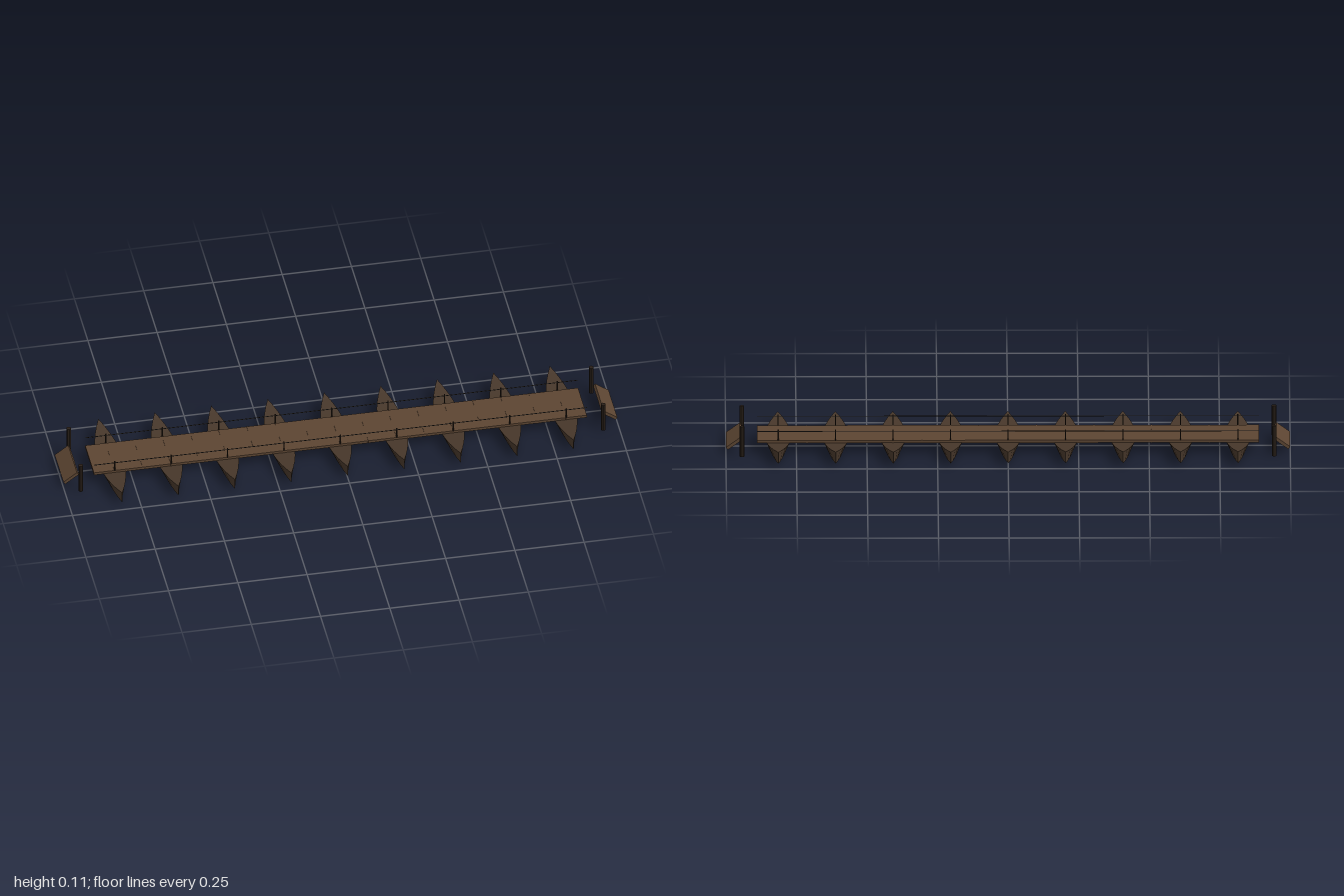
import * as THREE from 'three';

const mat = (color) => new THREE.MeshStandardMaterial({ color, flatShading: true, side: THREE.DoubleSide });
const deckMat = mat(0x5c4532), hullMat = mat(0x47372a), postMat = mat(0x2b2119);

const SPACING = 0.2037, DECK_HALF = 0.89, RAIL_Z = 0.082;

// Pointed hull lofted from trapezoid sections, rising toward both tips
function hullGeometry() {
  const n = 12, half = 0.222, pos = [], idx = [];
  for (let i = 0; i <= n; i++) {
    const t = -1 + (2 * i) / n;
    const w = 0.047 * (1 - t * t);
    const yb = 0.001 + 0.01 * t * t, yt = 0.038 + 0.015 * t * t;
    pos.push(-w * 0.57, yb, t * half, w * 0.57, yb, t * half, w, yt, t * half, -w, yt, t * half);
    if (i < n) {
      for (let k = 0; k < 4; k++) {
        const a = i * 4 + k, b = i * 4 + (k + 1) % 4;
        idx.push(a, b, b + 4, a, b + 4, a + 4);
      }
    }
  }
  const g = new THREE.BufferGeometry();
  g.setAttribute('position', new THREE.Float32BufferAttribute(pos, 3));
  g.setIndex(idx);
  g.computeVertexNormals();
  return g;
}

export function createModel() {
  const model = new THREE.Group();
  const add = (name, geo, material, x, y, z) => {
    const m = new THREE.Mesh(geo, material);
    m.name = name;
    m.position.set(x, y, z);
    model.add(m);
    return m;
  };

  // Nine boats with a pair of rail posts above each
  const hull = hullGeometry();
  const railPost = new THREE.CylinderGeometry(0.0025, 0.0025, 0.041, 6);
  for (let i = -4; i <= 4; i++) {
    add('boat', hull, hullMat, i * SPACING, 0, 0);
    for (const s of [-1, 1]) add('railPost', railPost, postMat, i * SPACING, 0.0685, s * RAIL_Z);
  }

  // Deck panels meeting over and midway between the boats
  const step = SPACING / 2;
  for (let i = -9; i < 9; i++) {
    const a = Math.max(i * step, -DECK_HALF), b = Math.min((i + 1) * step, DECK_HALF);
    add('deckPanel', new THREE.BoxGeometry(b - a - 0.0008, 0.01, 0.164), deckMat, (a + b) / 2, 0.044, 0);
  }
  // Cross battens at the seams
  const batten = new THREE.BoxGeometry(0.003, 0.011, 0.166);
  for (let i = -8; i <= 8; i++) add('crossBatten', batten, deckMat, i * step, 0.0442, 0);

  // Rope rails
  const rope = new THREE.CylinderGeometry(0.0014, 0.0014, DECK_HALF * 2, 6).rotateZ(Math.PI / 2);
  for (const s of [-1, 1]) add('ropeRail', rope, postMat, 0, 0.083, s * RAIL_Z);

  // Sloping shore ramps and mooring posts at each end
  const ramp = new THREE.BoxGeometry(0.0605, 0.0115, 0.164);
  const mooring = new THREE.CylinderGeometry(0.0085, 0.0085, 0.112, 8);
  for (const s of [-1, 1]) {
    add('shoreRamp', ramp, deckMat, s * 0.972, 0.0365, 0).rotation.z = -s * 0.63;
    for (const t of [-1, 1]) add('mooringPost', mooring, postMat, s * 0.943, 0.056, t * 0.111);
  }
  return model;
}
